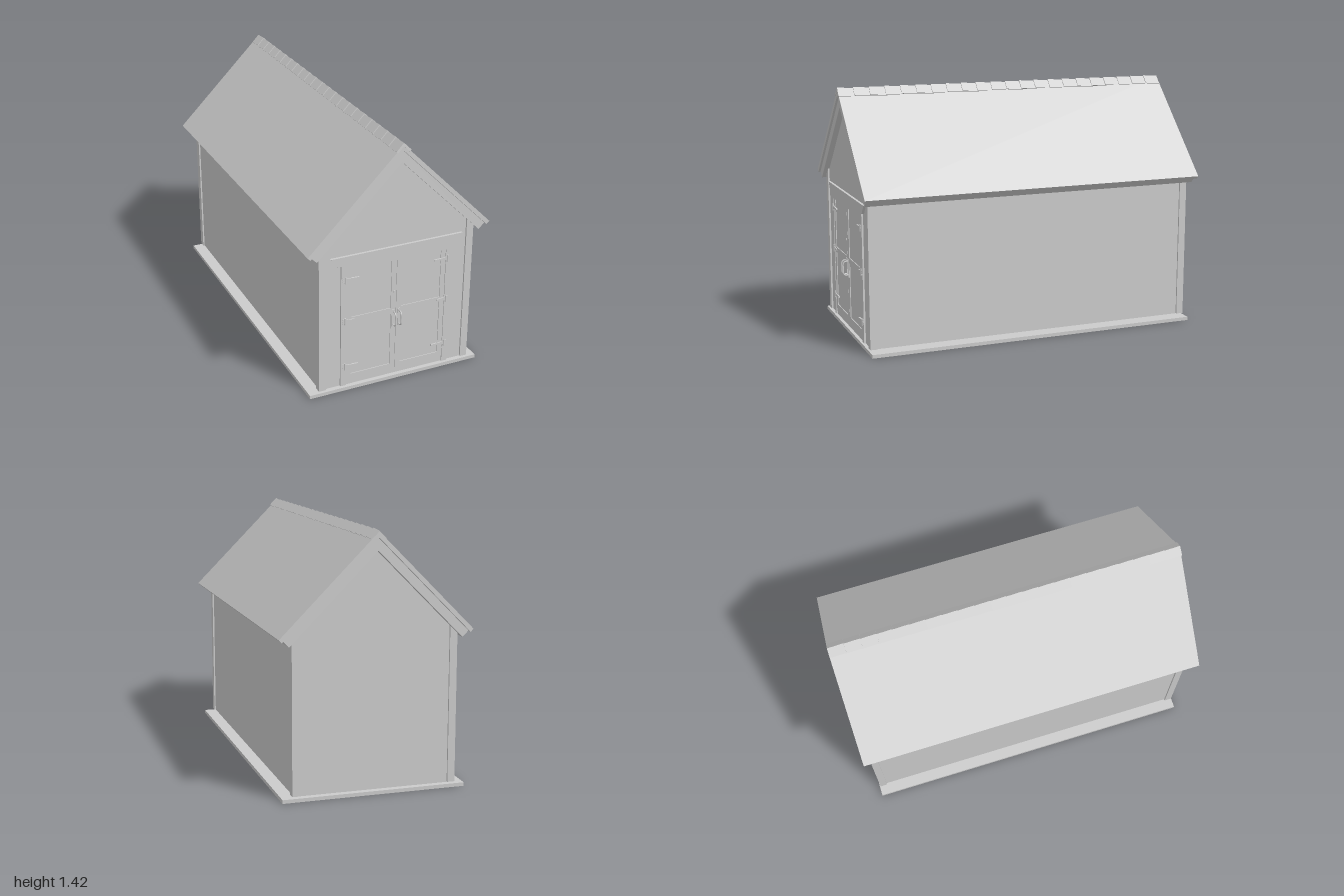
import * as THREE from 'three';

const mat = new THREE.MeshStandardMaterial({ color: 0xcccccc, flatShading: true });
const smooth = new THREE.MeshStandardMaterial({ color: 0xcccccc });

function add(parent, name, geometry, x = 0, y = 0, z = 0, material = mat) {
  const mesh = new THREE.Mesh(geometry, material);
  mesh.name = name;
  mesh.position.set(x, y, z);
  parent.add(mesh);
  return mesh;
}

// Box given by its extents
function box(parent, name, x0, x1, y0, y1, z0, z1) {
  return add(parent, name, new THREE.BoxGeometry(Math.abs(x1 - x0), y1 - y0, z1 - z0),
    (x0 + x1) / 2, (y0 + y1) / 2, (z0 + z1) / 2);
}

function extrude(points, depth) {
  const shape = new THREE.Shape(points.map(([x, y]) => new THREE.Vector2(x, y)));
  return new THREE.ExtrudeGeometry(shape, { depth, bevelEnabled: false });
}

// 45-degree roof section with its apex at y = 0, square-cut eaves
function chevron(eave, thickness, depth) {
  const d = thickness / Math.SQRT2;
  return extrude([
    [0, 0], [-eave, -eave], [-eave + d, -eave - d], [0, -2 * d],
    [eave - d, -eave - d], [eave, -eave],
  ], depth);
}

function createHinge(side, y, strap) {
  const hinge = new THREE.Group();
  hinge.name = 'hinge';
  const knuckle = 0.304;
  add(hinge, 'hingeKnuckle', new THREE.CylinderGeometry(0.005, 0.005, 0.04, 10), side * knuckle, y, 0.968, smooth);
  box(hinge, 'hingePlate', side * knuckle, side * 0.316, y - 0.017, y + 0.017, 0.96, 0.9685);
  // Scalloped tips on the jamb plate
  for (const dy of [-0.012, 0, 0.012]) {
    const tip = add(hinge, 'hingePlateTip', new THREE.CylinderGeometry(0.005, 0.005, 0.008, 10), side * 0.316, y + dy, 0.9645, smooth);
    tip.rotation.x = Math.PI / 2;
  }
  // Tapered strap across the door
  const leaf = extrude([[0, -0.013], [0, 0.013], [-0.02, 0.007], [-strap, 0.004], [-strap, -0.004], [-0.02, -0.007]]
    .map(([x, v]) => [side * x, v]), 0.0085);
  add(hinge, 'hingeStrap', leaf, side * knuckle, y, 0.96);
  return hinge;
}

function createHandle(x) {
  const handle = new THREE.Group();
  handle.name = 'doorHandle';
  const path = new THREE.CatmullRomCurve3([
    [0.345, 0.962], [0.345, 0.985], [0.355, 0.995], [0.385, 0.996], [0.415, 0.995], [0.425, 0.985], [0.425, 0.962],
  ].map(([y, z]) => new THREE.Vector3(x, y, z)));
  add(handle, 'handleGrip', new THREE.TubeGeometry(path, 32, 0.004, 8), 0, 0, 0, smooth);
  box(handle, 'handlePlate', x - 0.007, x + 0.007, 0.333, 0.437, 0.96, 0.967);
  return handle;
}

export function createModel() {
  const model = new THREE.Group();
  model.name = 'gardenShed';

  // Floor slab and plinth
  box(model, 'floorSlab', -0.51, 0.51, 0, 0.02, -0.97, 0.97);
  box(model, 'plinth', -0.42, 0.42, 0.02, 0.031, -0.935, 0.935);

  // Walls with gables, rising into the roof
  const w = 0.447;
  add(model, 'walls', extrude([[-w, 0.03], [w, 0.03], [w, 1.32 - w], [0, 1.32], [-w, 1.32 - w]], 1.912), 0, 0, -0.956);

  // Corner posts
  for (const sx of [-1, 1]) {
    box(model, 'cornerPost', sx * 0.415, sx * 0.456, 0.03, 0.895, 0.924, 0.966);
    box(model, 'cornerPost', sx * 0.415, sx * 0.456, 0.03, 0.895, -0.966, -0.924);
  }

  // Roof covering over its decking
  add(model, 'roofCovering', chevron(0.533, 0.023, 2), 0, 1.406, -1);
  add(model, 'roofDecking', chevron(0.509, 0.047, 1.976), 0, 1.372, -0.988);

  // Overlapping ridge caps, each lifted at its front end
  const count = 22, pitch = 2 / count;
  for (let i = 0; i < count; i++) {
    const length = i === count - 1 ? pitch : 0.1;
    const geometry = chevron(0.042, 0.013, length);
    geometry.translate(0, 0, -length);
    add(model, 'ridgeCap', geometry, 0, 1.416, 1 - i * pitch).rotation.x = -0.07;
  }

  // Door surround
  const door = new THREE.Group();
  door.name = 'doubleDoor';
  model.add(door);
  for (const s of [-1, 1]) box(door, 'doorJamb', s * 0.295, s * 0.328, 0.03, 0.766, 0.95, 0.966);
  box(door, 'doorHead', -0.295, 0.295, 0.735, 0.766, 0.95, 0.966);
  box(door, 'threshold', -0.295, 0.295, 0.03, 0.062, 0.95, 0.959);
  add(door, 'lintel', extrude([[-0.35, 0.766], [0.35, 0.766], [0.39, 0.819], [-0.39, 0.819]], 0.02), 0, 0, 0.95);

  // Door leaves: panel, stiles, rails and fittings
  for (const s of [-1, 1]) {
    const leaf = new THREE.Group();
    leaf.name = s > 0 ? 'leftDoorLeaf' : 'rightDoorLeaf';
    door.add(leaf);
    box(leaf, 'doorPanel', s * 0.001, s * 0.294, 0.064, 0.734, 0.95, 0.9585);
    box(leaf, 'innerStile', s * 0.001, s * 0.031, 0.064, 0.734, 0.95, 0.963);
    box(leaf, 'outerStile', s * 0.266, s * 0.294, 0.064, 0.734, 0.95, 0.963);
    for (const [y0, y1] of [[0.064, 0.095], [0.417, 0.447]]) {
      box(leaf, 'doorRail', s * 0.031, s * 0.266, y0, y1, 0.95, 0.963);
    }
    for (const [y, strap] of [[0.15, 0.08], [0.432, 0.055], [0.68, 0.08]]) leaf.add(createHinge(s, y, strap));
    leaf.add(createHandle(s * 0.017));
  }

  // Lock cylinder
  const lock = add(door, 'lock', new THREE.CylinderGeometry(0.008, 0.008, 0.008, 16), -0.013, 0.545, 0.964, smooth);
  lock.rotation.x = Math.PI / 2;

  return model;
}
